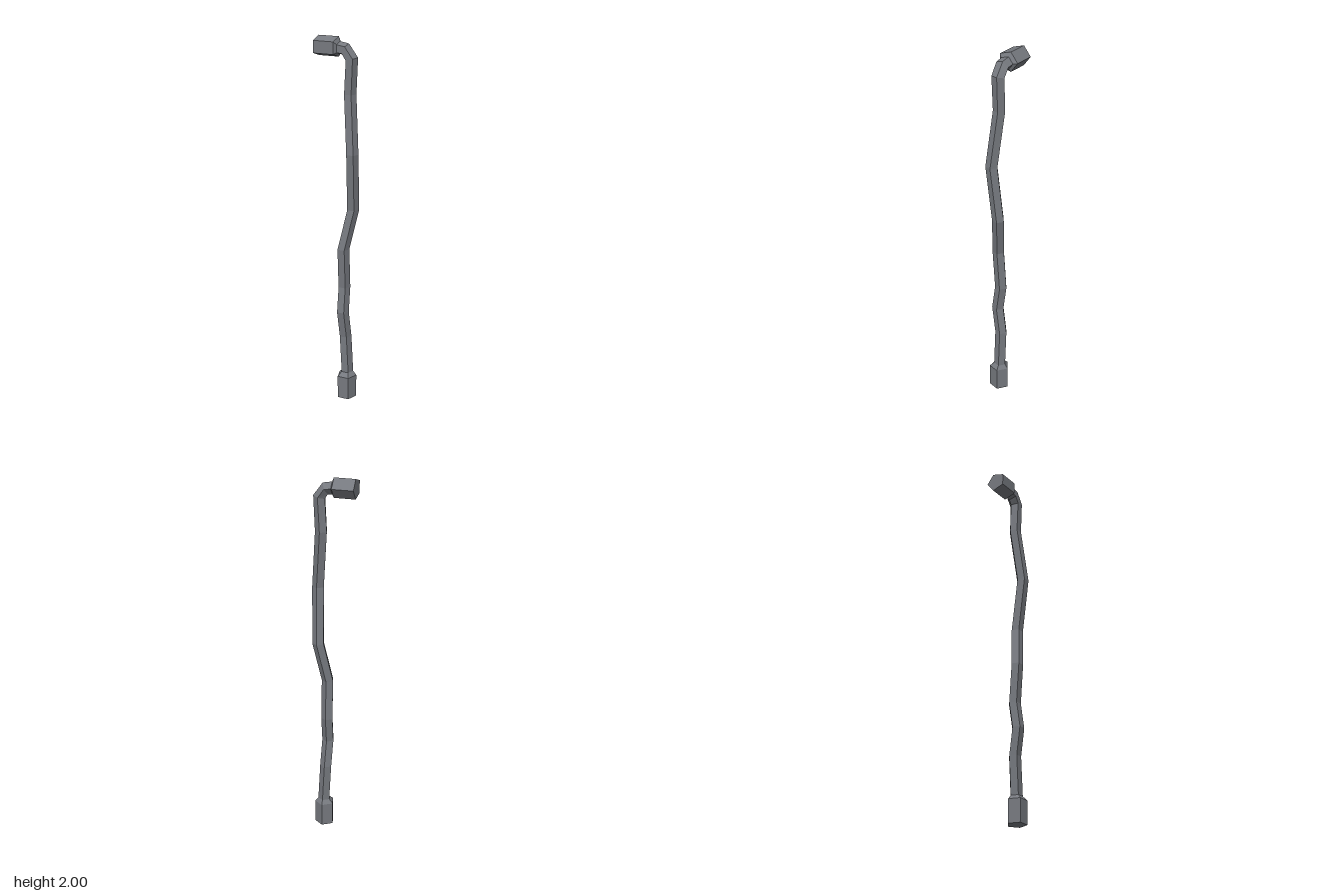
import * as THREE from 'three';

const SIDES = 5;

// One five-sided ring: flat side towards +z, tilted about z, with in-plane radius a and depth radius b.
function ringPoints([x, y, z, tilt, a, b = a]) {
  const t = THREE.MathUtils.degToRad(tilt);
  const points = [];
  for (let i = 0; i < SIDES; i++) {
    const angle = -Math.PI / 2 + (i * 2 * Math.PI) / SIDES;
    const u = a * Math.cos(angle);
    points.push(new THREE.Vector3(x + u * Math.cos(t), y + u * Math.sin(t), z + b * Math.sin(angle)));
  }
  return points;
}

// Skin a list of rings, optionally closing the first or last one.
function loft(sections, capStart, capEnd) {
  const rings = sections.map(ringPoints);
  const pos = [];
  const tri = (p, q, r) => [p, q, r].forEach((v) => pos.push(v.x, v.y, v.z));
  for (let j = 0; j < rings.length - 1; j++) {
    for (let i = 0; i < SIDES; i++) {
      const n = (i + 1) % SIDES;
      const lower = rings[j], upper = rings[j + 1];
      tri(lower[i], upper[i], lower[n]);
      tri(lower[n], upper[i], upper[n]);
    }
  }
  const last = rings[rings.length - 1];
  for (let i = 1; i < SIDES - 1; i++) {
    if (capStart) tri(rings[0][0], rings[0][i], rings[0][i + 1]);
    if (capEnd) tri(last[0], last[i + 1], last[i]);
  }
  const geometry = new THREE.BufferGeometry();
  geometry.setAttribute('position', new THREE.Float32BufferAttribute(pos, 3));
  geometry.computeVertexNormals();
  return geometry;
}

export function createModel() {
  const group = new THREE.Group();
  const metal = new THREE.MeshStandardMaterial({ color: 0x777a80, flatShading: true });
  metal.name = 'grey metal';

  const add = (name, sections, capStart, capEnd) => {
    const mesh = new THREE.Mesh(loft(sections, capStart, capEnd), metal);
    mesh.name = name;
    group.add(mesh);
  };

  // Rings: x, y, z, tilt in degrees, radius, depth radius
  const tubeStart = [0.054, 0.15, 0.004, 0, 0.034];
  const tubeEnd = [0, 1.944, -0.004, 90, 0.035, 0.038];

  // Socket at the foot, tapering into the pipe
  add('bottomSocket', [
    [0.0525, 0, 0.0085, 0, 0.055],
    [0.0525, 0.127, 0.0085, 0, 0.055],
    tubeStart,
  ], true, false);

  // Crooked pipe with an elbow at the top
  add('pipe', [
    tubeStart,
    [0.042, 0.36, 0.003, 0, 0.034],
    [0.037, 0.51, 0.027, 0, 0.034],
    [0.036, 0.65, 0.007, 0, 0.034],
    [0.037, 0.87, 0.022, 0, 0.034],
    [0.08, 1.09, -0.007, 0, 0.034],
    [0.09, 1.4, 0.026, 0, 0.034],
    [0.062, 1.71, -0.004, 0, 0.034],
    [0.071, 1.892, -0.004, 14, 0.034, 0.036],
    [0.037, 1.939, -0.004, 65, 0.034, 0.037],
    tubeEnd,
  ], false, false);

  // Sideways socket at the top
  add('topSocket', [
    tubeEnd,
    [-0.011, 1.948, -0.004, 90, 0.055, 0.0585],
    [-0.127, 1.948, -0.004, 90, 0.055, 0.0585],
  ], false, true);

  return group;
}
